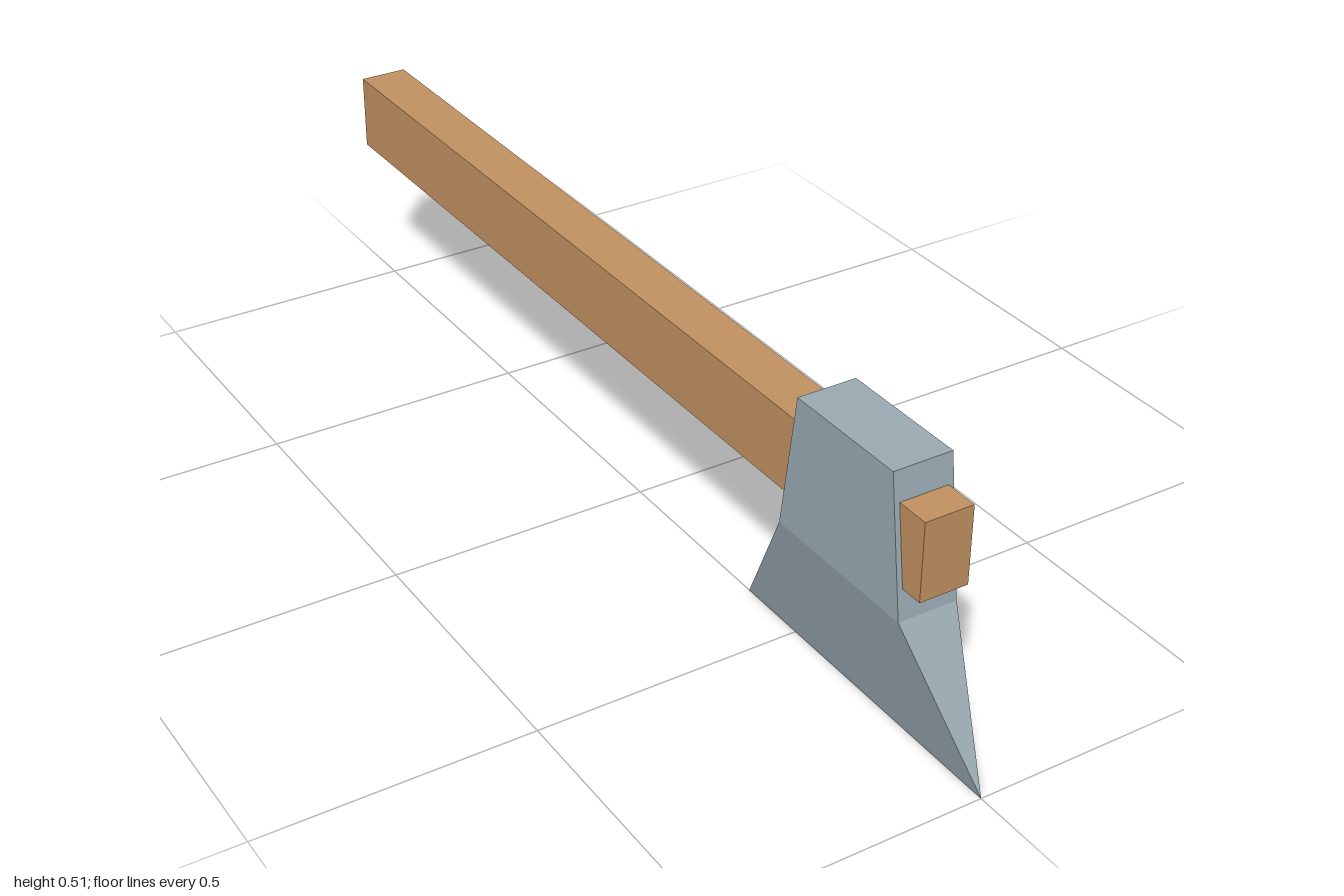
import * as THREE from 'three';

// Axe head: a box in two tiers whose cross-sections narrow to a blade edge
function axeHeadGeometry() {
  const sections = [
    { y: 0, halfX: 0, back: 0.36, front: 1 },           // cutting edge
    { y: 0.255, halfX: 0.056, back: 0.52, front: 0.84 }, // shoulder
    { y: 0.51, halfX: 0.056, back: 0.557, front: 0.805 } // flat top
  ];
  const box = new THREE.BoxGeometry(2, 2, 2, 1, 2, 1);
  const p = box.attributes.position;
  for (let i = 0; i < p.count; i++) {
    const s = sections[Math.round(p.getY(i)) + 1];
    p.setXYZ(i, Math.sign(p.getX(i)) * s.halfX, s.y, p.getZ(i) > 0 ? s.front : s.back);
  }
  const geometry = box.toNonIndexed();
  geometry.computeVertexNormals();
  return geometry;
}

export function createModel() {
  const wood = new THREE.MeshStandardMaterial({ color: 0xc19160 });
  wood.name = 'wood';
  const steel = new THREE.MeshStandardMaterial({ color: 0x9aaab2, flatShading: true });
  steel.name = 'steel';

  const model = new THREE.Group();
  model.name = 'axe';

  // Straight handle passing through the head
  const handle = new THREE.Mesh(new THREE.BoxGeometry(0.092, 0.146, 1.875), wood);
  handle.name = 'handle';
  handle.position.set(0, 0.383, -0.0625);

  const head = new THREE.Mesh(axeHeadGeometry(), steel);
  head.name = 'axeHead';

  model.add(handle, head);
  return model;
}
